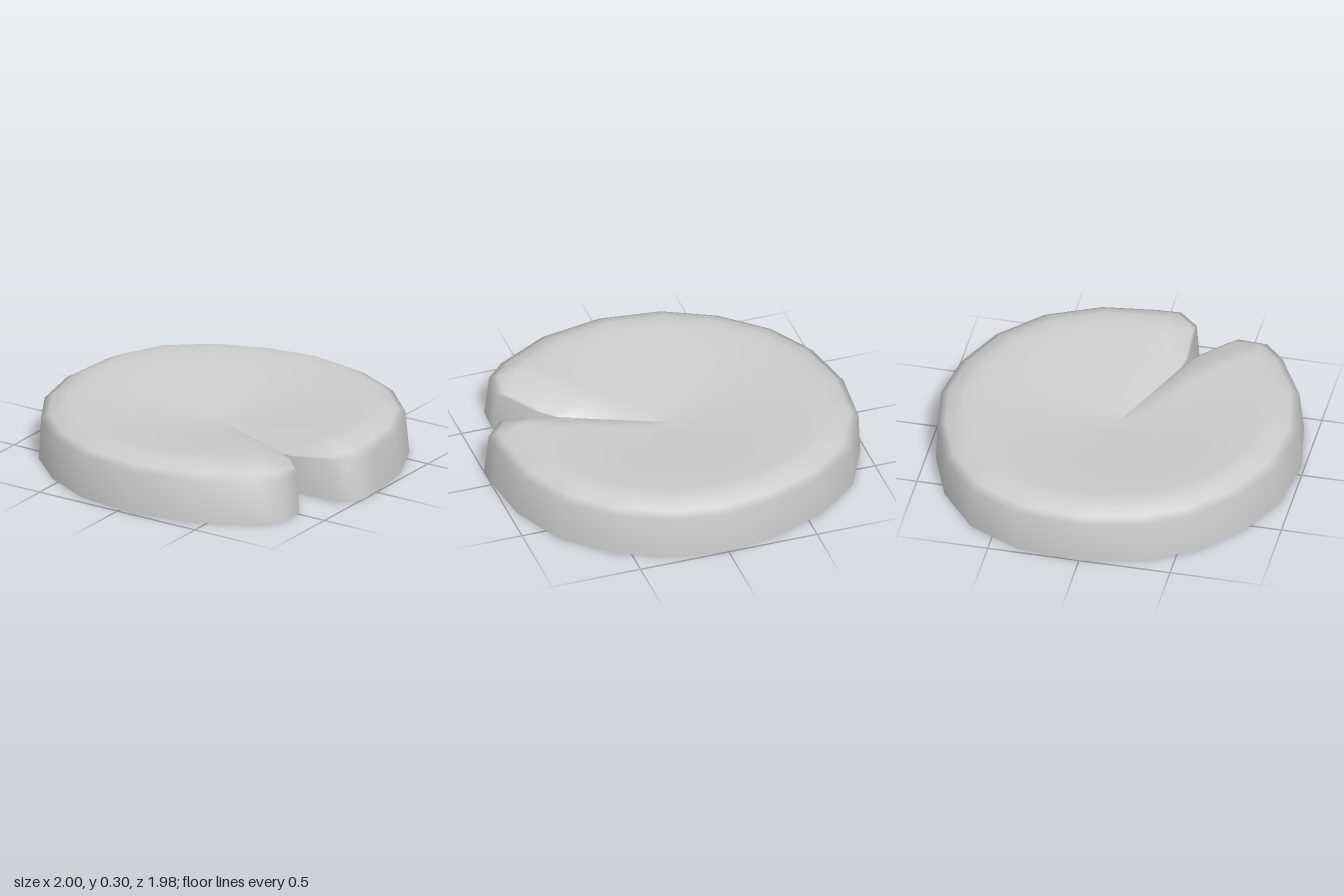
import * as THREE from 'three';

// Footprint [x, z], from the inner end of the notch round to it again
const OUTLINE = [
  [0.57, 0.23], [0.65, 0.25], [0.90, 0.24], [1.0, 0.13], [0.995, 0], [0.955, -0.30],
  [0.82, -0.59], [0.59, -0.81], [0.30, -0.945], [0.01, -0.99], [-0.28, -0.945],
  [-0.58, -0.83], [-0.83, -0.63], [-0.97, -0.34], [-1.0, 0], [-0.93, 0.33],
  [-0.78, 0.59], [-0.55, 0.80], [-0.27, 0.94], [0.07, 0.985], [0.42, 0.92],
  [0.71, 0.76], [0.82, 0.65], [0.83, 0.49], [0.67, 0.30], [0.57, 0.23],
].map(([x, z]) => new THREE.Vector2(x, z));
const APEX = new THREE.Vector2(-0.02, -0.02);
const BOTTOM = 0.01, EDGE = 0.24, TOP = 0.305, CENTRE = 0.215, SLIT = 0.2;
const BEVEL = 0.125, NOTCH_BEVEL = 0.2, STEPS = 4;

const fromApex = (p, s) => APEX.clone().lerp(p, s);
// The wall leans in a little toward its top
const wallTop = (p) => new THREE.Vector2(p.x * 0.983 - 0.008, p.y * 0.983 - 0.006);

// Upper rim, with the closed slit as its first and last segment
const rim = [APEX, ...OUTLINE.map(wallTop), APEX];

function segmentDistance(p, a, b) {
  const ab = b.clone().sub(a);
  const t = THREE.MathUtils.clamp(p.clone().sub(a).dot(ab) / ab.lengthSq(), 0, 1);
  return p.distanceTo(a.clone().addScaledVector(ab, t));
}

// Bowl that bevels down to the rim, more gently on the front side of the notch
function topHeight(p) {
  const bowl = CENTRE + (TOP - CENTRE) * THREE.MathUtils.smoothstep(p.length(), 0, 0.85);
  let k = 1;
  for (let i = 0; i < rim.length - 1; i++) {
    const frontOfNotch = i === rim.length - 3 || i === rim.length - 4;
    k = Math.min(k, segmentDistance(p, rim[i], rim[i + 1]) / (frontOfNotch ? NOTCH_BEVEL : BEVEL));
  }
  const nearSlit = 1 - Math.min(segmentDistance(p, rim[0], rim[1]) / 0.3, 1);
  const edge = Math.min(bowl, EDGE - (EDGE - SLIT) * nearSlit);
  return THREE.MathUtils.lerp(edge, bowl, k * (1.2 - 0.2 * k));
}

// Top and outer wall: rings around the notch's inner end, open below
function padGeometry() {
  const points = [];
  for (let i = 0; i < OUTLINE.length - 1; i++) {
    for (let k = 0; k < STEPS; k++) points.push(OUTLINE[i].clone().lerp(OUTLINE[i + 1], k / STEPS));
  }
  points.push(OUTLINE[OUTLINE.length - 1]);
  const rings = [0.12, 0.25, 0.38, 0.5, 0.62, 0.73, 0.8, 0.86, 0.91, 0.955, 1];
  const n = points.length;
  const position = [APEX.x, topHeight(APEX), APEX.y];
  for (const s of rings) {
    for (const p of points) {
      const q = fromApex(wallTop(p), s);
      position.push(q.x, topHeight(q), q.y);
    }
  }
  for (const p of points) position.push(p.x, BOTTOM, p.y);
  const index = [];
  for (let i = 0; i < n - 1; i++) {
    index.push(0, 1 + i, 2 + i);
    for (let j = 0; j < rings.length; j++) {
      const a = 1 + j * n + i, b = a + n;
      index.push(a, b, b + 1, a, b + 1, a + 1);
    }
  }
  const geometry = new THREE.BufferGeometry();
  geometry.setAttribute('position', new THREE.Float32BufferAttribute(position, 3));
  geometry.setIndex(index);
  geometry.computeVertexNormals();

  // Shade the wall smoothly from corner to corner
  const normal = geometry.attributes.normal;
  const a = new THREE.Vector3(), b = new THREE.Vector3();
  for (const start of [1 + (rings.length - 1) * n, 1 + rings.length * n]) {
    for (let i = 0; i < n - 1; i++) {
      const corner = start + i - (i % STEPS);
      a.fromBufferAttribute(normal, corner);
      b.fromBufferAttribute(normal, corner + STEPS);
      a.lerp(b, (i % STEPS) / STEPS).normalize();
      normal.setXYZ(start + i, a.x, a.y, a.z);
    }
  }
  return geometry;
}

// Upright wall continuing the notch inward under the slit
function slitWallGeometry() {
  const corners = [
    [fromApex(rim[1], 0.4), SLIT], [fromApex(OUTLINE[0], 0.49), BOTTOM],
    [OUTLINE[0], BOTTOM], [rim[1], SLIT],
  ].map(([p, y]) => new THREE.Vector3(p.x, y, p.y));
  const geometry = new THREE.BufferGeometry().setFromPoints(corners);
  geometry.setIndex([0, 1, 2, 0, 2, 3]);
  geometry.computeVertexNormals();
  return geometry;
}

export function createModel() {
  const material = new THREE.MeshStandardMaterial({ color: 0xcccccc, side: THREE.DoubleSide });
  const group = new THREE.Group();
  group.name = 'lilyPad';
  const pad = new THREE.Mesh(padGeometry(), material);
  pad.name = 'pad';
  const slitWall = new THREE.Mesh(slitWallGeometry(), material);
  slitWall.name = 'slitWall';
  group.add(pad, slitWall);
  return group;
}
